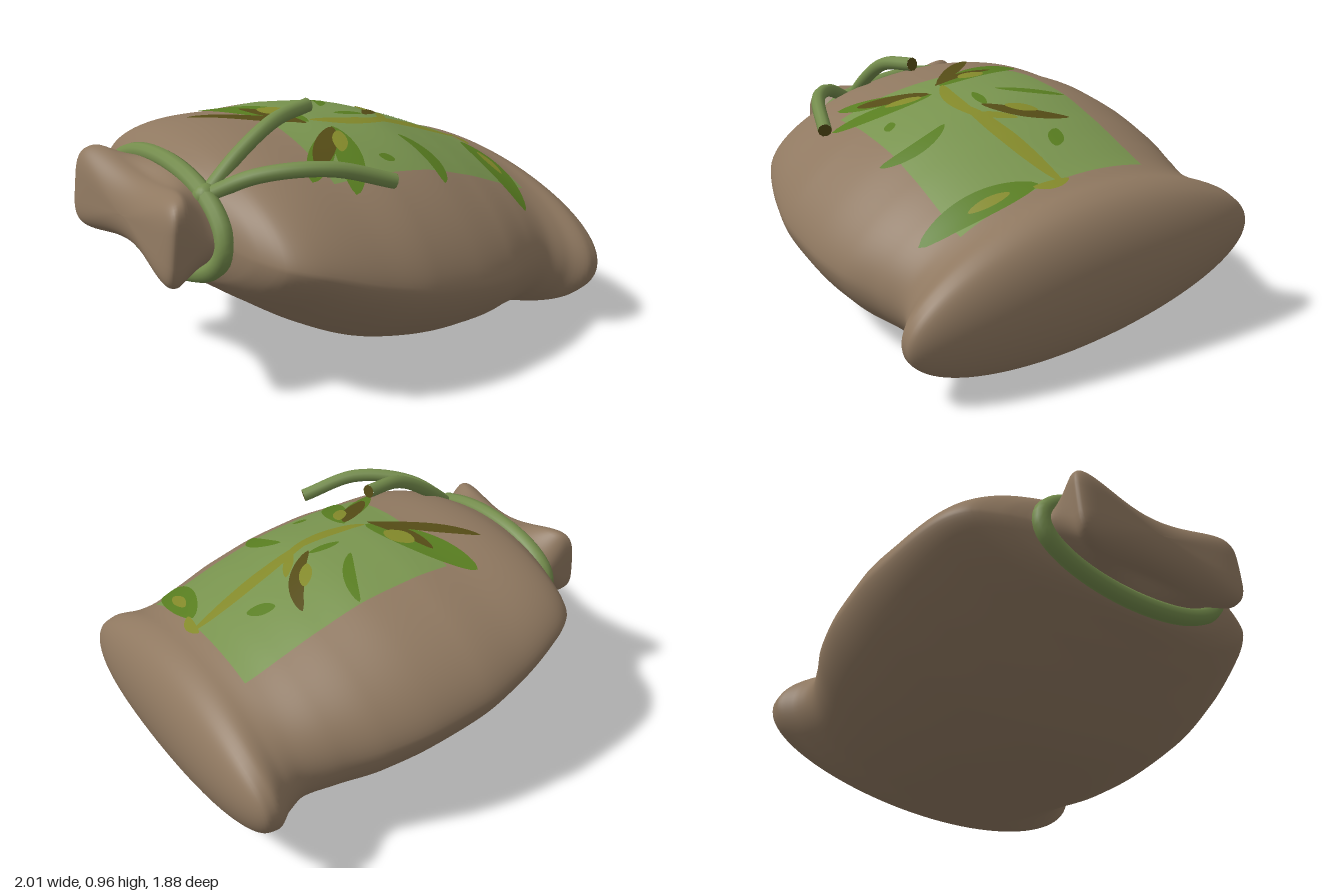
import * as THREE from 'three';

const mat = (name, color, side = THREE.FrontSide) => {
  const m = new THREE.MeshStandardMaterial({ color, side });
  m.name = name;
  return m;
};

// Sack cross-sections along its length: s, half width, centre height, half height
const SECTIONS = [
  [-0.97, 0.36, 0.615, 0.25],
  [-0.88, 0.355, 0.615, 0.24],
  [-0.80, 0.365, 0.605, 0.17],
  [-0.76, 0.5, 0.595, 0.2],
  [-0.70, 0.62, 0.59, 0.235],
  [-0.60, 0.685, 0.57, 0.28],
  [-0.40, 0.745, 0.51, 0.345],
  [-0.20, 0.773, 0.465, 0.395],
  [0, 0.768, 0.43, 0.41],
  [0.20, 0.737, 0.398, 0.385],
  [0.37, 0.68, 0.375, 0.348],
  [0.50, 0.649, 0.354, 0.322],
  [0.58, 0.678, 0.335, 0.315],
  [0.66, 0.735, 0.325, 0.312],
  [0.80, 0.735, 0.32, 0.312],
];
const START = -0.97, END = 0.8, OFFSET = 0.048, TILT = -0.1, SHEAR = 0.12;
const { lerp, clamp, smoothstep } = THREE.MathUtils;

// Fraction left after rounding the sack shut over the given lengths at its two ends
function closing(s, neckLength, baseLength) {
  const e = Math.max(0, (START + neckLength - s) / neckLength, (s - END + baseLength) / baseLength);
  return Math.max(0, 1 - e * e);
}

// Half width, centre height and half height at s, by monotone cubic interpolation
function section(s) {
  const T = SECTIONS, n = T.length - 1;
  s = clamp(s, START, END);
  let i = 0;
  while (i < n - 1 && s > T[i + 1][0]) i++;
  const step = T[i + 1][0] - T[i][0], u = (s - T[i][0]) / step, u2 = u * u, u3 = u2 * u;
  const [w, cy, h] = [1, 2, 3].map((k) => {
    const d = (j) => (T[j + 1][k] - T[j][k]) / (T[j + 1][0] - T[j][0]);
    const slope = (j) => {
      if (j === 0 || j === n) return 0;
      const a = d(j - 1), b = d(j);
      return a * b <= 0 ? 0 : (2 * a * b) / (a + b);
    };
    return (2 * u3 - 3 * u2 + 1) * T[i][k] + (u3 - 2 * u2 + u) * step * slope(i)
      + (3 * u2 - 2 * u3) * T[i + 1][k] + (u3 - u2) * step * slope(i + 1);
  });
  return [w * Math.pow(closing(s, 0.07, 0.11), 0.36), cy, h * Math.sqrt(closing(s, 0.1, 0.2))];
}

// Section roundness: pointed sides near the neck, elliptical at the base, two lobes in the tuft
const lobeAt = (s) => 1 - smoothstep(s, -0.88, -0.79);
function bulge(s, sine) {
  const lobe = lobeAt(s), power = lerp(1.25 - 0.25 * smoothstep(s, 0, 0.5), 0.5, lobe);
  return Math.pow(sine, power) * (1 - 0.5 * lobe * sine * sine);
}

// Sack axes (along s, across t) turned 30 degrees in plan
const C = Math.cos(Math.PI / 6), S = 0.5;
const place = (s, y, t) => [C * s + S * t, y, -S * s + C * t];

function gridGeometry(rows, cols, point, wrap) {
  const pos = [], idx = [], per = wrap ? cols : cols + 1;
  for (let i = 0; i <= rows; i++) for (let j = 0; j < per; j++) pos.push(...point(i, j));
  for (let i = 0; i < rows; i++) for (let j = 0; j < cols; j++) {
    const a = i * per + j, b = i * per + ((j + 1) % per), c = a + per, d = b + per;
    idx.push(a, c, b, b, c, d);
  }
  const g = new THREE.BufferGeometry();
  g.setAttribute('position', new THREE.Float32BufferAttribute(pos, 3));
  g.setIndex(idx);
  g.computeVertexNormals();
  return g;
}

function sackGeometry() {
  const rows = 140, cols = 96;
  return gridGeometry(rows, cols, (i, j) => {
    const s = lerp(START, END, (1 - Math.cos((Math.PI * i) / rows)) / 2);
    const [w, cy, h] = section(s);
    const a = (j / cols) * Math.PI * 2, sn = Math.sin(a);
    const dt = w * Math.cos(a), dy = h * Math.sign(sn) * bulge(s, Math.abs(sn));
    const flare = lobeAt(s) * 0.06 * (dt / 0.36) ** 2;
    return place(s + SHEAR * dy - flare, cy + dy + TILT * (OFFSET + dt), OFFSET + dt);
  }, true);
}

// Height of the sack's upper surface over a plan point
function topY(x, z) {
  const s = C * x - S * z, t = S * x + C * z;
  let dy = 0.2, y = 0;
  for (let i = 0; i < 10; i++) {
    const sk = s - SHEAR * dy, [w, cy, h] = section(sk);
    dy = h * bulge(sk, Math.sqrt(Math.max(0, 1 - ((t - OFFSET) / w) ** 2)));
    y = cy + dy + TILT * t;
  }
  return y;
}

// Painted blade lying on the sack, from one plan point to another with a sideways bend
function blade([x0, z0, x1, z1, bend, half], lift) {
  const dx = x1 - x0, dz = z1 - z0, rows = 24, cols = 6;
  const curve = new THREE.QuadraticBezierCurve(
    new THREE.Vector2(x0, z0),
    new THREE.Vector2((x0 + x1) / 2 - bend * dz, (z0 + z1) / 2 + bend * dx),
    new THREE.Vector2(x1, z1),
  );
  return gridGeometry(rows, cols, (i, j) => {
    const u = i / rows, p = curve.getPoint(u), d = curve.getTangent(u);
    const k = half * Math.pow(Math.max(0, Math.sin(Math.PI * u)), 0.6) * ((2 * j) / cols - 1);
    const x = p.x + d.y * k, z = p.y - d.x * k;
    return [x, topY(x, z) + lift, z];
  });
}

export function createModel() {
  const root = new THREE.Group();
  root.name = 'tiedSack';
  const cloth = mat('sackCloth', 0x8f7860);
  const vine = mat('vineGreen', 0x748c4c);
  const print = mat('printGreen', 0x78934e, THREE.DoubleSide);
  const leaf = mat('leafGreen', 0x587d20, THREE.DoubleSide);
  const dark = mat('darkOlive', 0x554c16, THREE.DoubleSide);
  const gold = mat('yellowOlive', 0x83892a, THREE.DoubleSide);
  const add = (name, geo, material, parent = root) => {
    const m = new THREE.Mesh(geo, material);
    m.name = name;
    parent.add(m);
    return m;
  };

  add('sackBody', sackGeometry(), cloth);

  // Cord around the neck
  const ring = [];
  for (let i = 0; i < 24; i++) {
    const a = (i / 24) * Math.PI * 2, t = OFFSET + 0.385 * Math.cos(a), dy = 0.175 * Math.sin(a);
    ring.push(new THREE.Vector3(...place(-0.8 + SHEAR * dy, 0.6 + dy + TILT * t, t)));
  }
  add('neckCord', new THREE.TubeGeometry(new THREE.CatmullRomCurve3(ring, true), 80, 0.034, 10, true), vine);
  const knot = add('cordKnot', new THREE.SphereGeometry(0.045, 16, 12), vine);
  knot.position.set(-0.53, 0.7, 0.64);

  // Loose cord ends with cut tips
  const ends = [
    [[-0.53, 0.7, 0.63], [-0.41, 0.82, 0.55], [-0.28, 0.91, 0.46], [-0.15, 0.935, 0.34]],
    [[-0.53, 0.7, 0.64], [-0.36, 0.78, 0.7], [-0.12, 0.8, 0.72], [0.11, 0.735, 0.67]],
  ];
  for (const pts of ends) {
    const curve = new THREE.CatmullRomCurve3(pts.map((p) => new THREE.Vector3(...p)));
    add('cordEnd', new THREE.TubeGeometry(curve, 32, 0.027, 10), vine);
    const tip = add('cordTip', new THREE.CircleGeometry(0.027, 10), dark);
    tip.position.copy(curve.getPoint(1));
    tip.lookAt(tip.position.clone().add(curve.getTangent(1)));
  }

  // Printed panel on the upper side
  add('printPanel', gridGeometry(40, 40, (i, j) => {
    const t = -0.28 + (0.78 * j) / 40, s0 = -0.325 - (0.07 * j) / 40;
    const [x, , z] = place(s0 + ((0.555 - s0) * i) / 40, 0, t);
    return [x, topY(x, z) + 0.002, z];
  }), print);

  // Painted plant, each blade as x0, z0, x1, z1, bend, half width
  const art = new THREE.Group();
  art.name = 'paintedPlant';
  root.add(art);
  const paint = (name, material, lift, blades) => {
    for (const b of blades) add(name, blade(b, lift), material, art);
  };
  paint('leaf', leaf, 0.0035, [
    [-0.54, -0.09, -0.13, 0.23, 0, 0.07],
    [-0.05, 0.26, -0.02, 0.66, -0.1, 0.05],
    [-0.06, 0.3, -0.17, 0.65, 0, 0.045],
    [0.55, -0.12, 0.7, 0.3, 0, 0.06],
    [0.21, 0.21, 0.34, 0.45, -0.3, 0.033],
    [-0.08, -0.27, -0.06, 0.01, -0.15, 0.024],
    [0.23, -0.21, 0.34, -0.2, 0, 0.03],
    [0.1, 0.42, 0.16, 0.42, 0, 0.022],
    [-0.02, 0.1, 0.1, 0.05, 0, 0.02],
  ]);
  paint('leafShade', dark, 0.005, [
    [-0.38, 0.02, -0.14, 0.25, 0.1, 0.03],
    [-0.58, 0.12, -0.15, 0.24, 0, 0.033],
    [-0.05, 0.27, -0.14, 0.57, 0, 0.04],
    [0.13, -0.27, 0.1, 0.07, -0.2, 0.03],
  ]);
  paint('stem', gold, 0.0065, [
    [-0.13, 0.22, 0.19, 0.08, 0.17, 0.03],
    [0.09, 0.15, 0.55, -0.21, 0, 0.034],
    [0.52, -0.23, 0.57, -0.1, -0.2, 0.02],
    [0.19, -0.07, 0.17, 0.1, 0, 0.02],
  ]);
  paint('leafSpot', gold, 0.0065, [
    [-0.31, 0.06, -0.2, 0.15, 0, 0.045],
    [-0.03, 0.3, -0.04, 0.45, 0, 0.028],
    [0.59, -0.02, 0.65, 0.13, 0, 0.022],
    [0.12, -0.15, 0.11, -0.02, 0, 0.025],
  ]);
  return root;
}
